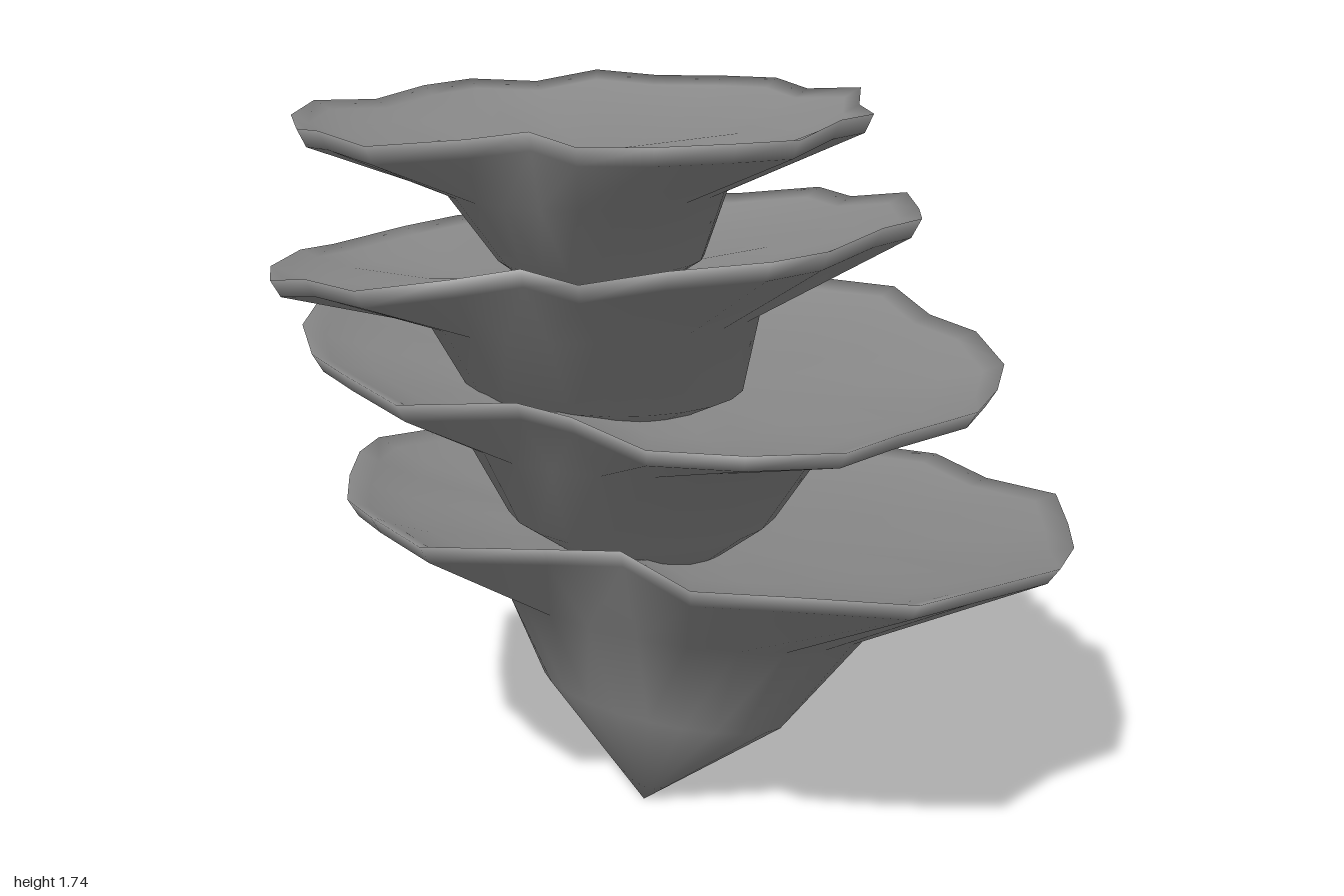
import * as THREE from 'three';
import { mergeVertices } from 'three/addons/utils/BufferGeometryUtils.js';

const heightAt = ([base, sx, sz], x, z) => base + sx * x + sz * z;

// A loop of points around c, starting at the left side (+x) and passing the front.
// radii(i) gives [rx, rz]; h is a tilted plane [base, slope along x, slope along z].
function loop(n, c, radii, h, drop = () => 0) {
  return Array.from({ length: n }, (_, i) => {
    const angle = (i / n) * Math.PI * 2;
    const [rx, rz] = radii(i);
    const x = c[0] + rx * Math.cos(angle), z = c[1] + rz * Math.sin(angle);
    return new THREE.Vector3(x, heightAt(h, x, z) - drop(i), z);
  });
}

// One fungus shelf: dished top, wavy rim with a notch, flared underside, pointed stem
function shelfGeometry({ center, rim, tilt, mid, low, apex }) {
  const n = rim.length;
  const outline = (scale, drop) => loop(n, center, (i) => [rim[i] * scale, rim[i] * scale], tilt,
    (i) => drop + 0.01 * scale * Math.sin(i * 2.3));
  const ellipse = ({ c, r, h }) => loop(n, c, () => r, h);
  const point = (x, y, z) => Array(n).fill(new THREE.Vector3(x, y, z));

  const rings = [
    point(center[0], heightAt(tilt, ...center) - 0.1, center[1]),
    outline(0.55, 0.085),
    outline(0.82, 0.05),
    outline(0.94, 0.02),
    outline(1, 0), // rim
    outline(0.97, 0.042), // lip
    ellipse(mid),
    ellipse(low),
    point(...apex),
  ];

  const positions = [];
  const face = (...pts) => pts.forEach((p) => positions.push(p.x, p.y, p.z));
  for (let k = 0; k < rings.length - 1; k++) {
    const a = rings[k], b = rings[k + 1];
    for (let i = 0; i < n; i++) {
      const j = (i + 1) % n;
      if (b[i] !== b[j]) face(a[i], b[j], b[i]);
      if (a[i] !== a[j]) face(a[i], a[j], b[j]);
    }
  }
  const soup = new THREE.BufferGeometry();
  soup.setAttribute('position', new THREE.Float32BufferAttribute(positions, 3));
  const geometry = mergeVertices(soup);
  geometry.computeVertexNormals();
  return geometry;
}

export function createModel() {
  const group = new THREE.Group();
  group.name = 'shelfFungus';
  const grey = new THREE.MeshStandardMaterial({ color: 0x888888 });
  grey.name = 'grey';

  const addShelf = (name, shape) => {
    const mesh = new THREE.Mesh(shelfGeometry(shape), grey);
    mesh.name = name;
    group.add(mesh);
  };

  // Stacked shelves, each with its stem sunk into the one below.
  // rim lists the radius every 15 degrees.
  addShelf('bottomShelf', {
    center: [-0.02, 0],
    rim: [1.01, 0.95, 1.01, 0.96, 0.96, 0.98, 0.91, 0.97, 0.87, 0.8, 0.6, 0.66,
      0.85, 0.85, 0.85, 0.85, 0.89, 0.98, 0.92, 0.99, 0.96, 0.97, 1.02, 0.94],
    tilt: [0.705, -0.1, 0],
    mid: { c: [-0.02, 0], r: [0.47, 0.46], h: [0.42, -0.2, 0] },
    low: { c: [-0.13, 0.02], r: [0.26, 0.35], h: [0.19, -0.2, 0] },
    apex: [-0.28, 0, 0.1],
  });
  addShelf('lowerMiddleShelf', {
    center: [-0.18, 0.03],
    rim: [0.92, 0.83, 0.84, 0.85, 0.83, 0.84, 0.77, 0.83, 0.8, 0.73, 0.62, 0.57,
      0.76, 0.78, 0.8, 0.83, 0.85, 0.89, 0.86, 0.88, 0.92, 0.86, 0.93, 0.84],
    tilt: [1.14, 0, -0.08],
    mid: { c: [-0.18, 0.03], r: [0.44, 0.46], h: [0.93, 0, 0.03] },
    low: { c: [-0.16, -0.02], r: [0.34, 0.33], h: [0.72, 0, -0.05] },
    apex: [-0.2, 0.5, 0.05],
  });
  addShelf('upperMiddleShelf', {
    center: [-0.32, -0.02],
    rim: [0.8, 0.73, 0.78, 0.76, 0.77, 0.74, 0.73, 0.78, 0.7, 0.66, 0.5, 0.55,
      0.68, 0.7, 0.74, 0.75, 0.74, 0.77, 0.71, 0.76, 0.72, 0.74, 0.77, 0.73],
    tilt: [1.42, 0.03, 0.1],
    mid: { c: [-0.32, -0.02], r: [0.37, 0.42], h: [1.23, 0, 0.06] },
    low: { c: [-0.29, -0.02], r: [0.31, 0.36], h: [1.06, 0, 0] },
    apex: [-0.3, 0.9, 0],
  });
  addShelf('topShelf', {
    center: [-0.35, 0],
    rim: [0.64, 0.6, 0.66, 0.62, 0.66, 0.64, 0.65, 0.66, 0.62, 0.49, 0.4, 0.47,
      0.62, 0.64, 0.65, 0.67, 0.67, 0.6, 0.59, 0.63, 0.58, 0.62, 0.6, 0.64],
    tilt: [1.72, 0.03, 0],
    mid: { c: [-0.35, 0], r: [0.33, 0.32], h: [1.53, 0, 0] },
    low: { c: [-0.33, 0.02], r: [0.24, 0.24], h: [1.37, 0, 0] },
    apex: [-0.34, 1.2, 0],
  });
  return group;
}
